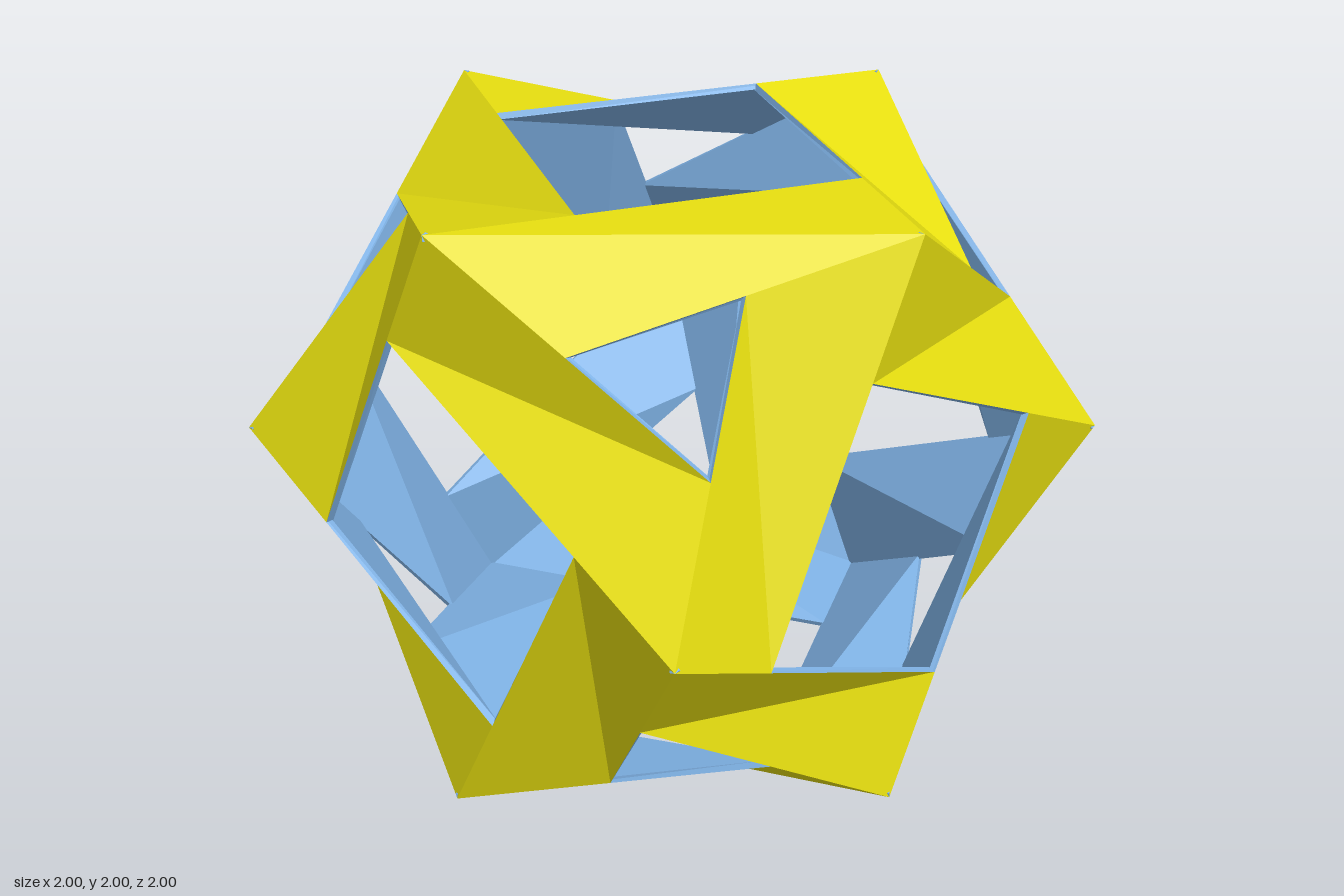
import * as THREE from 'three';

const THICKNESS = 0.02;
const outerMaterial = new THREE.MeshStandardMaterial({ color: 0xe8e010, flatShading: true });
const innerMaterial = new THREE.MeshStandardMaterial({ color: 0x7fb2e5, flatShading: true });

// Corners of one folded sheet: two tips on the frame, one corner at a square hole,
// one at a triangular hole.
const TIP_A = new THREE.Vector3(0, 1, 1);
const TIP_B = new THREE.Vector3(1, 0, 1);
const SQUARE_CORNER = new THREE.Vector3(-0.2, 0.6, 1);
const TRIANGLE_CORNER = new THREE.Vector3(6 / 7, 3 / 7, 5 / 7);

function meshFrom(name, triangles, material) {
  const geometry = new THREE.BufferGeometry().setFromPoints(triangles.flat());
  geometry.computeVertexNormals();
  const mesh = new THREE.Mesh(geometry, material);
  mesh.name = name;
  return mesh;
}

function normalOf([a, b, c]) {
  return new THREE.Triangle(a, b, c).getNormal(new THREE.Vector3());
}

// A sheet with a crease from h1 to h2 and a wing corner on either side of it.
function foldedSheet(h1, h2, w1, w2) {
  let left = [h1, h2, w1];
  let right = [h2, h1, w2];
  let ring = [h2, w1, h1, w2];
  if (normalOf(left).dot(w1) < 0) {
    left = [h2, h1, w1];
    right = [h1, h2, w2];
    ring = [h1, w1, h2, w2];
  }
  const n1 = normalOf(left);
  const n2 = normalOf(right);
  const crease = n1.clone().add(n2).divideScalar(1 + n1.dot(n2));

  // Inner face corners, mitred along the crease
  const inner = new Map([[h1, crease], [h2, crease], [w1, n1], [w2, n2]].map(
    ([p, n]) => [p, p.clone().addScaledVector(n, -THICKNESS)]));
  const lining = [left, right].map(([a, b, c]) => [inner.get(a), inner.get(c), inner.get(b)]);

  // Cut edges of the sheet
  ring.forEach((p, i) => {
    const q = ring[(i + 1) % 4];
    const pi = inner.get(p);
    const qi = inner.get(q);
    lining.push([q, p, pi], [q, pi, qi]);
  });

  const sheet = new THREE.Group();
  sheet.name = 'foldedSheet';
  sheet.add(meshFrom('outerFace', [left, right], outerMaterial));
  sheet.add(meshFrom('innerFace', lining, innerMaterial));
  return sheet;
}

export function createModel() {
  const model = new THREE.Group();
  model.name = 'foldedPaperBall';
  const h = Math.PI / 2;
  const sides = {
    front: [0, 0], right: [0, h], back: [0, 2 * h], left: [0, -h], top: [-h, 0], bottom: [h, 0],
  };

  // Four sheets twist around the square hole of each of the six sides
  for (const [side, [rx, ry]] of Object.entries(sides)) {
    const ring = new THREE.Group();
    ring.name = side + 'Ring';
    for (let turn = 0; turn < 4; turn++) {
      const matrix = new THREE.Matrix4().makeRotationFromEuler(new THREE.Euler(rx, ry, 0))
        .multiply(new THREE.Matrix4().makeRotationZ(turn * h));
      const [a, b, s, t] = [TIP_A, TIP_B, SQUARE_CORNER, TRIANGLE_CORNER].map(
        (p) => p.clone().applyMatrix4(matrix));
      // One sheet on top is popped outward, creased from tip to tip
      const popped = side === 'top' && turn === 3;
      ring.add(popped ? foldedSheet(a, b, s, t) : foldedSheet(s, t, a, b));
    }
    model.add(ring);
  }
  model.position.y = 1;
  const root = new THREE.Group();
  root.name = 'paperBall';
  root.add(model);
  return root;
}
